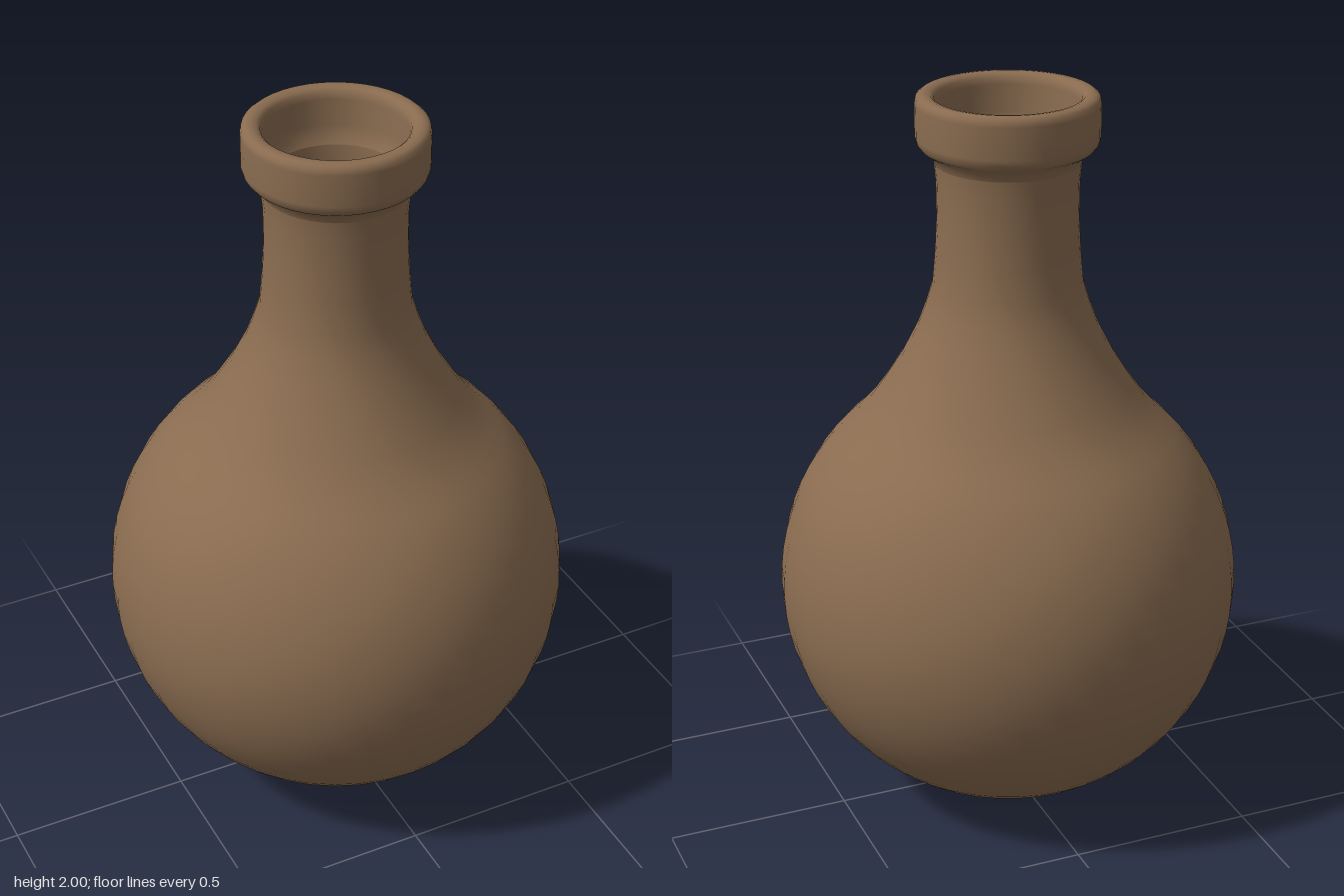
import * as THREE from 'three';

const SEGMENTS = 40;
const CENTRE_Y = 0.628;

// Points on a sphere profile, from the bottom pole up to the given polar angle.
function bowlArc(radius, endAngle, steps) {
  const points = [];
  for (let i = 0; i <= steps; i++) {
    const a = (endAngle * i) / steps;
    points.push([radius * Math.sin(a), CENTRE_Y - radius * Math.cos(a)]);
  }
  return points;
}

function lathe(name, profile, material) {
  const points = profile.map(([r, y]) => new THREE.Vector2(Math.max(r, 0), y));
  const mesh = new THREE.Mesh(new THREE.LatheGeometry(points, SEGMENTS), material);
  mesh.name = name;
  return mesh;
}

export function createModel() {
  const group = new THREE.Group();
  group.name = 'flask';
  const clay = new THREE.MeshStandardMaterial({ color: 0x8a6c50 });

  // Round body flowing through the shoulder into the slim neck
  const outer = [
    ...bowlArc(0.628, 2.42, 28),
    [0.37, 1.15], [0.335, 1.2], [0.285, 1.28], [0.24, 1.37],
    [0.218, 1.43], [0.2, 1.49], [0.192, 1.58], [0.187, 1.67], [0.188, 1.77], [0.193, 1.82],
  ];
  group.add(lathe('body', outer, clay));

  // Thick collar round the mouth, with softened edges
  const collar = [
    [0.193, 1.82], [0.2, 1.838], [0.212, 1.85], [0.228, 1.86], [0.237, 1.873], [0.241, 1.89],
    [0.241, 1.975], [0.238, 1.99], [0.228, 1.998], [0.215, 2.0],
    [0.2, 1.997], [0.19, 1.988], [0.186, 1.97], [0.184, 1.9], [0.178, 1.87], [0.168, 1.85],
  ];
  group.add(lathe('collar', collar, clay));

  // Hollow inside, running from the mouth down to the floor
  const inner = [
    [0.168, 1.85], [0.165, 1.8], [0.165, 1.67], [0.17, 1.58], [0.178, 1.49],
    [0.218, 1.37], [0.263, 1.28], [0.312, 1.2], [0.347, 1.15],
    ...bowlArc(0.603, 2.46, 28).reverse(),
  ];
  group.add(lathe('inside', inner, clay));

  return group;
}
